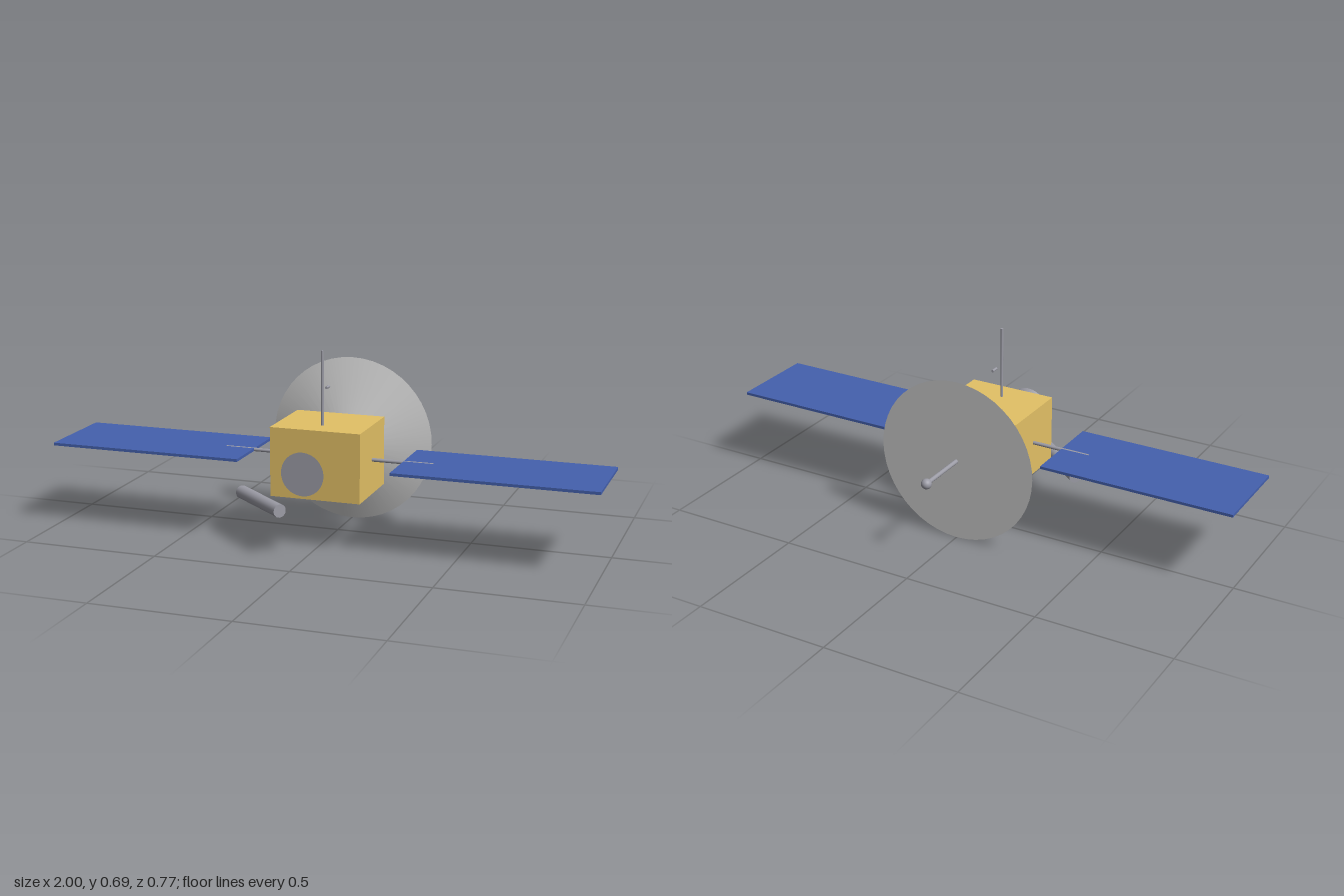
import * as THREE from 'three';

const AXIS_Y = 0.307; // height of the main axis
const paint = (color) => new THREE.MeshStandardMaterial({ color });
const grey = paint(0xcccccc);
const metal = paint(0x9c9ca6);
const gold = paint(0xe3c166);
const blue = paint(0x4460ad);

export function createModel() {
  const model = new THREE.Group();
  model.name = 'satellite';

  const add = (name, geometry, material, x, y, z) => {
    const mesh = new THREE.Mesh(geometry, material);
    mesh.name = name;
    mesh.position.set(x, y, z);
    model.add(mesh);
    return mesh;
  };

  // Closed round bar or frustum from point a to point b
  const bar = (name, a, b, rA, rB = rA, material = metal, sides = 24) => {
    const start = new THREE.Vector3(...a);
    const end = new THREE.Vector3(...b);
    const dir = end.clone().sub(start);
    const mid = start.add(end).multiplyScalar(0.5);
    const geometry = new THREE.CylinderGeometry(rB, rA, dir.length(), sides);
    const mesh = add(name, geometry, material, mid.x, mid.y, mid.z);
    mesh.quaternion.setFromUnitVectors(new THREE.Vector3(0, 1, 0), dir.normalize());
    return mesh;
  };

  // Foil-covered body
  add('body', new THREE.BoxGeometry(0.33, 0.249, 0.278), gold, 0, AXIS_Y, 0.109);

  // Solar panels on struts
  for (const [side, s] of [['left', 1], ['right', -1]]) {
    add(side + 'SolarPanel', new THREE.BoxGeometry(0.72, 0.01, 0.333), blue, s * 0.64, AXIS_Y, 0.108);
    bar(side + 'Strut', [s * 0.14, AXIS_Y, 0.108], [s * 0.387, AXIS_Y, 0.108], 0.0065);
  }

  // Rear dish with its feed
  bar('dish', [0, AXIS_Y, -0.065], [0, AXIS_Y, -0.163], 0.015, 0.305, grey, 48);
  bar('feedRod', [0, AXIS_Y, -0.16], [0, AXIS_Y, -0.363], 0.008);
  add('feedTip', new THREE.SphereGeometry(0.019, 24, 16), metal, 0, AXIS_Y, -0.363);

  // Front horn
  bar('horn', [0, AXIS_Y, 0.263], [0, AXIS_Y, 0.372], 0.021, 0.077, metal, 32);

  // Upright antenna and the small rod beside it
  bar('antenna', [0, 0.43, 0.165], [0, 0.697, 0.165], 0.005);
  bar('antennaRod', [0, 0.557, 0.096], [0, 0.557, 0.124], 0.005);

  // Angled sensor tube below the body
  bar('sensorTube', [-0.299, 0.168, 0.186], [-0.085, 0.168, 0.366], 0.0238);

  return model;
}
